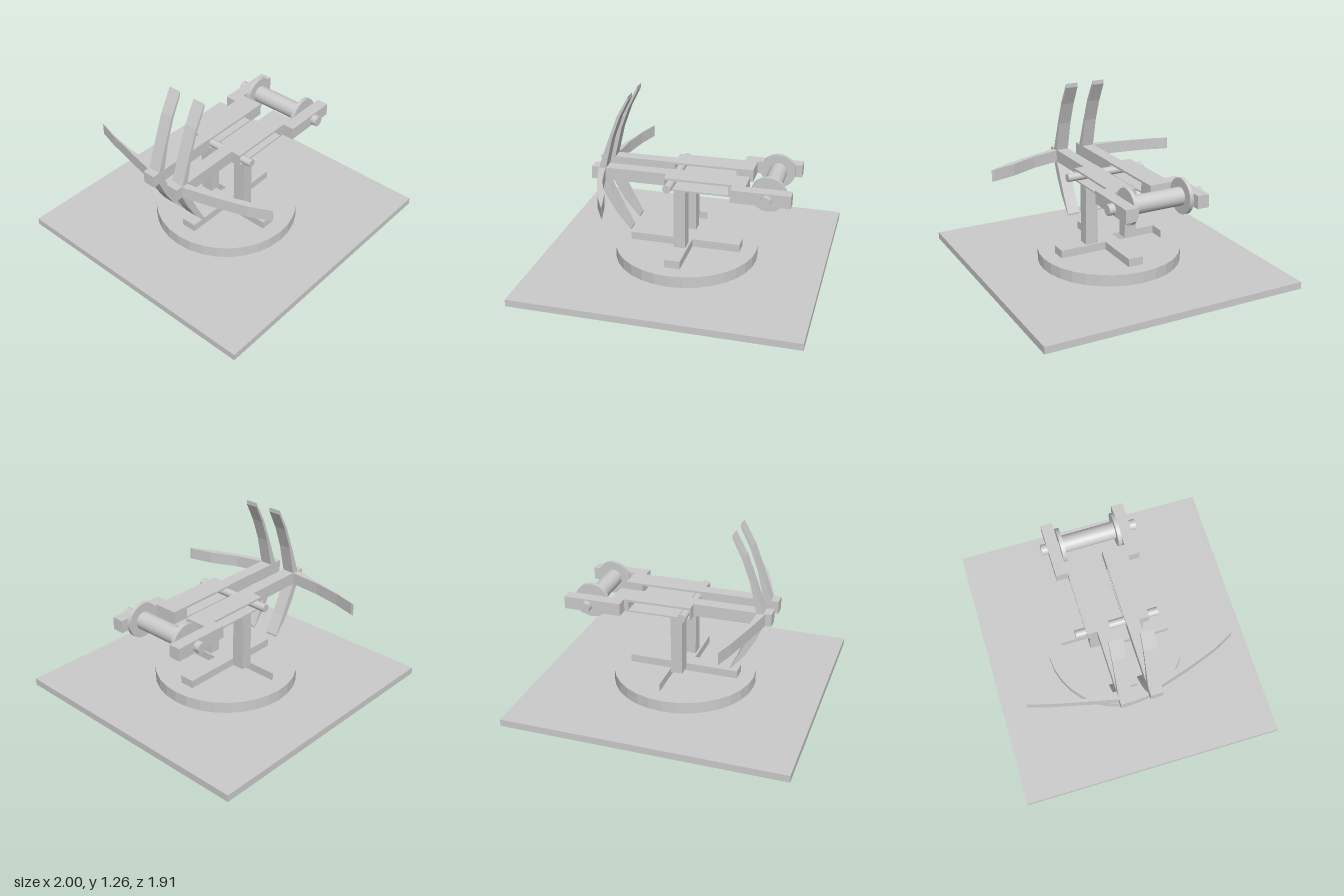
import * as THREE from 'three';

export function createModel() {
  const model = new THREE.Group();
  const mat = new THREE.MeshStandardMaterial({ color: 0xcccccc });
  const flat = new THREE.MeshStandardMaterial({ color: 0xcccccc, flatShading: true });

  const add = (parent, name, geo, material = mat) => {
    const mesh = new THREE.Mesh(geo, material);
    mesh.name = name;
    parent.add(mesh);
    return mesh;
  };
  // Box given by its limits on each axis
  const box = (parent, name, x0, x1, y0, y1, z0, z1) =>
    add(parent, name, new THREE.BoxGeometry(x1 - x0, y1 - y0, z1 - z0)
      .translate((x0 + x1) / 2, (y0 + y1) / 2, (z0 + z1) / 2));
  // Cylinder lying along z
  const rod = (parent, name, r, x, y, z0, z1) =>
    add(parent, name, new THREE.CylinderGeometry(r, r, z1 - z0, 32)
      .rotateX(Math.PI / 2).translate(x, y, (z0 + z1) / 2));
  const outline = pts => new THREE.Shape(pts.map(p => new THREE.Vector2(...p)));
  const extrude = (shape, depth) => new THREE.ExtrudeGeometry(shape, { depth, bevelEnabled: false });

  // Base plate, turntable and cross foot
  box(model, 'basePlate', -1, 1, 0.005, 0.055, -0.955, 0.955);
  add(model, 'turntable', new THREE.CylinderGeometry(0.513, 0.513, 0.083, 32).translate(0, 0.096, 0), flat);
  box(model, 'crossFootLong', -0.403, 0.4, 0.135, 0.195, -0.055, 0.055);
  for (const s of [-1, 1]) {
    box(model, 'crossFootArm', -0.058, 0.055, 0.135, 0.195, s * 0.055, s * 0.4);
    // Post and the stud showing under the plate
    box(model, 'post', -0.043, 0.04, 0.19, 0.637, s * 0.155 - 0.046, s * 0.155 + 0.046);
    add(model, 'stud', new THREE.CylinderGeometry(0.04, 0.04, 0.01, 16).scale(1, 1, 0.6)
      .translate(0, 0.005, s * 0.155));
  }

  // Swinging frame, turned slightly about the posts
  const frame = new THREE.Group();
  frame.name = 'frame';
  frame.rotation.y = 0.011;
  frame.position.z = -0.009;
  model.add(frame);
  const y0 = 0.636, y1 = 0.726;

  // Claw profiles: [along x, distance outward]
  const upper = [[-0.605, 0.7], [-0.6, 0.726], [-0.53, 0.925], [-0.46, 1.11], [-0.375, 1.265],
    [-0.375, 1.235], [-0.442, 1.1], [-0.5, 0.94], [-0.55, 0.726], [-0.55, 0.7]];
  const lower = [[-0.605, 0.66], [-0.605, 0.636], [-0.55, 0.51], [-0.48, 0.39], [-0.375, 0.262],
    [-0.375, 0.277], [-0.445, 0.41], [-0.505, 0.535], [-0.55, 0.636], [-0.55, 0.66]];
  const rear = [[-0.615, 0.14], [-0.57, 0.34], [-0.505, 0.61], [-0.46, 0.755],
    [-0.46, 0.735], [-0.505, 0.58], [-0.54, 0.38], [-0.557, 0.14]];
  const front = [[-0.608, 0.14], [-0.535, 0.38], [-0.46, 0.59], [-0.385, 0.735],
    [-0.385, 0.715], [-0.425, 0.55], [-0.505, 0.36], [-0.557, 0.14]];

  for (const s of [-1, 1]) {
    // Stepped side beam with a long slot through its middle
    box(frame, 'beamTail', -0.655, -0.11, y0, y1, Math.min(s * 0.06, s * 0.151), Math.max(s * 0.06, s * 0.151));
    const side = outline([[-0.11, y0], [0.46, y0], [0.46, y1], [-0.11, y1]]);
    side.holes.push(new THREE.Path([[-0.104, 0.647], [-0.104, 0.711], [0.34, 0.711], [0.34, 0.647]]
      .map(p => new THREE.Vector2(...p))));
    add(frame, 'slottedBeam', extrude(side, 0.167).translate(0, 0, s > 0 ? 0.057 : -0.224));
    box(frame, 'beamFork', 0.37, 0.78, y0, y1, s > 0 ? 0.224 : -0.309, s > 0 ? 0.309 : -0.224);

    // Upright and hanging claws
    for (const [name, pts] of [['upperClaw', upper], ['lowerClaw', lower]])
      add(frame, name, extrude(outline(pts), 0.091).translate(0, 0, s > 0 ? 0.06 : -0.151));
    // Sideways claw
    const pts = (s > 0 ? front : rear).map(([x, z]) => [x, s * z]);
    const claw = extrude(outline(pts), 0.086).rotateX(Math.PI / 2).translate(0, 0.722, 0);
    const p = claw.attributes.position;
    for (let i = 0; i < p.count; i++) // slight droop toward the tip
      p.setY(i, p.getY(i) - (s > 0 ? 0.02 : 0.004) * (Math.abs(p.getZ(i)) - 0.14));
    claw.computeVertexNormals();
    add(frame, 'sideClaw', claw);

    // Roller flange
    rod(frame, 'rollerFlange', 0.123, 0.615, 0.68, s * 0.206 - 0.014, s * 0.206 + 0.014);
  }

  // Pivot rod in the slots, roller and its axle
  rod(frame, 'pivotRod', 0.029, -0.07, 0.677, -0.3, 0.3);
  rod(frame, 'roller', 0.063, 0.615, 0.68, -0.2, 0.2);
  rod(frame, 'rollerAxle', 0.038, 0.615, 0.68, -0.353, 0.353);
  return model;
}
